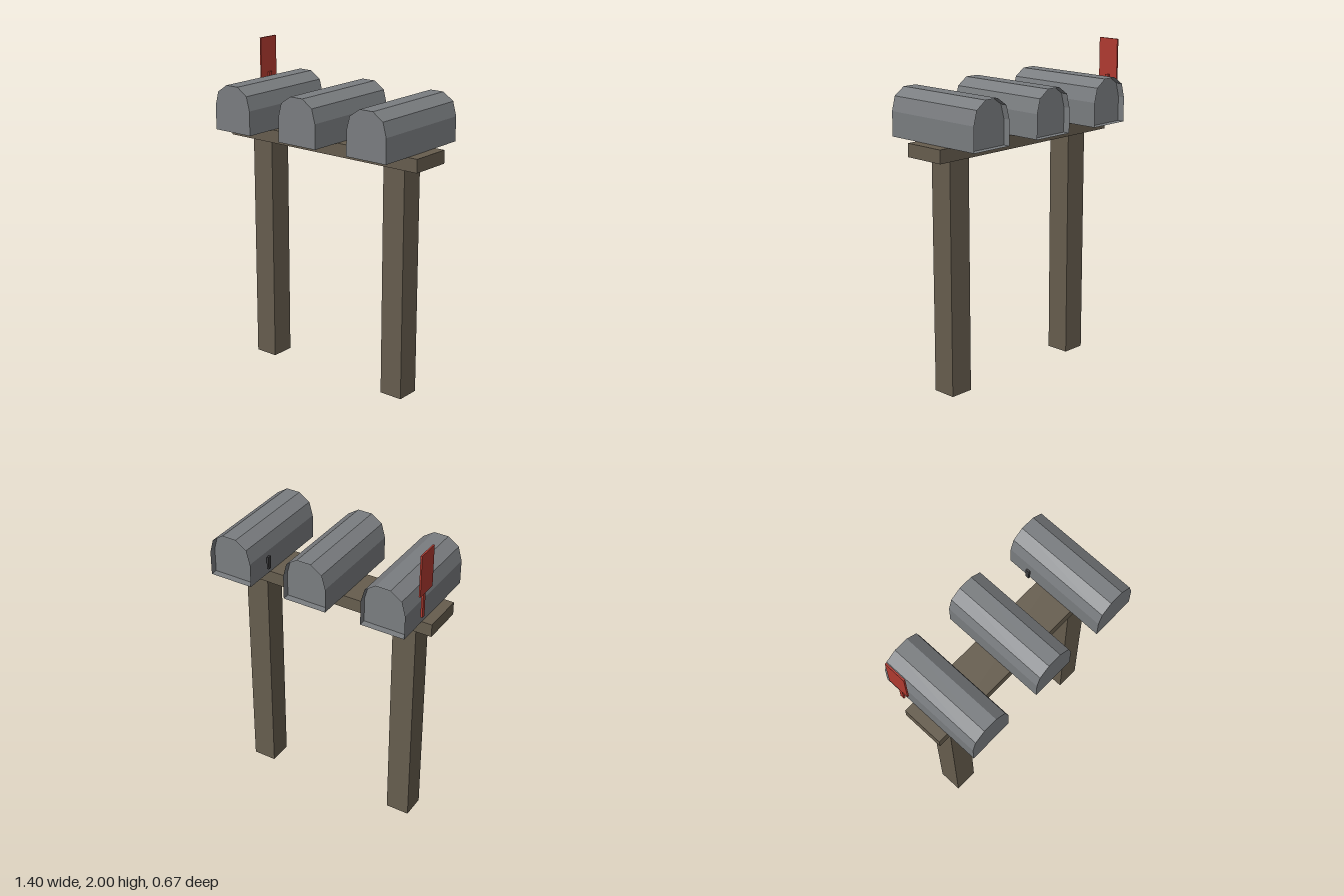
import * as THREE from 'three';

const material = (color, side = THREE.FrontSide) =>
  new THREE.MeshStandardMaterial({ color, side, flatShading: true });

const wood = material(0x665d4e);
const metal = material(0x7a7d80, THREE.DoubleSide);
const red = material(0xb03a30);
const dark = material(0x3a3a3c);

// Box from its lower and upper corners
function box(name, mat, [x0, y0, z0], [x1, y1, z1]) {
  const mesh = new THREE.Mesh(new THREE.BoxGeometry(x1 - x0, y1 - y0, z1 - z0), mat);
  mesh.position.set((x0 + x1) / 2, (y0 + y1) / 2, (z0 + z1) / 2);
  mesh.name = name;
  return mesh;
}

// Arched outline, counter-clockwise from the lower left corner
const half = [[0.137, 0], [0.137, 0.148], [0.114, 0.233], [0.045, 0.28]];
const outline = [
  ...half.map(([x, y]) => new THREE.Vector2(x, y)),
  ...half.map(([x, y]) => new THREE.Vector2(-x, y)).reverse(),
];

// Thin walls swept along z, open at both ends
function shellGeometry(z0, z1) {
  const pos = [];
  outline.forEach((a, i) => {
    const b = outline[(i + 1) % outline.length];
    pos.push(a.x, a.y, z0, b.x, b.y, z0, b.x, b.y, z1);
    pos.push(a.x, a.y, z0, b.x, b.y, z1, a.x, a.y, z1);
  });
  const geo = new THREE.BufferGeometry();
  geo.setAttribute('position', new THREE.Float32BufferAttribute(pos, 3));
  geo.computeVertexNormals();
  return geo;
}

function mailbox() {
  const group = new THREE.Group();
  group.name = 'mailbox';

  const shell = new THREE.Mesh(shellGeometry(-0.333, 0.333), metal);
  shell.name = 'mailboxShell';

  const cap = new THREE.ShapeGeometry(new THREE.Shape(outline));
  const front = new THREE.Mesh(cap, metal);
  front.name = 'frontPanel';
  front.position.z = 0.333;

  // Back panel sits inside the rim
  const back = new THREE.Mesh(cap, metal);
  back.name = 'recessedBackPanel';
  back.rotation.y = Math.PI;
  back.position.z = -0.29;

  group.add(shell, front, back);
  return group;
}

export function createModel() {
  const model = new THREE.Group();
  model.name = 'mailboxStand';

  // Posts and beam
  for (const x of [-0.5, 0.5]) {
    model.add(box('post', wood, [x - 0.074, 0, -0.074], [x + 0.074, 1.43, 0.074]));
  }
  model.add(box('beam', wood, [-0.7, 1.43, -0.132], [0.7, 1.51, 0.132]));

  // Row of mailboxes
  for (const x of [-0.5, 0, 0.5]) {
    const m = mailbox();
    m.position.set(x, 1.51, 0);
    model.add(m);
  }

  // Raised flag beside the right mailbox
  const flag = new THREE.Group();
  flag.name = 'flag';
  flag.add(
    box('flagArm', red, [-0.668, 1.58, -0.19], [-0.656, 1.78, -0.165]),
    box('flagPanel', red, [-0.679, 1.745, -0.246], [-0.669, 2, -0.108]),
  );
  model.add(flag);

  // Small bracket beside the left mailbox
  model.add(box('flagBracket', dark, [0.333, 1.562, -0.19], [0.346, 1.642, -0.165]));

  return model;
}
